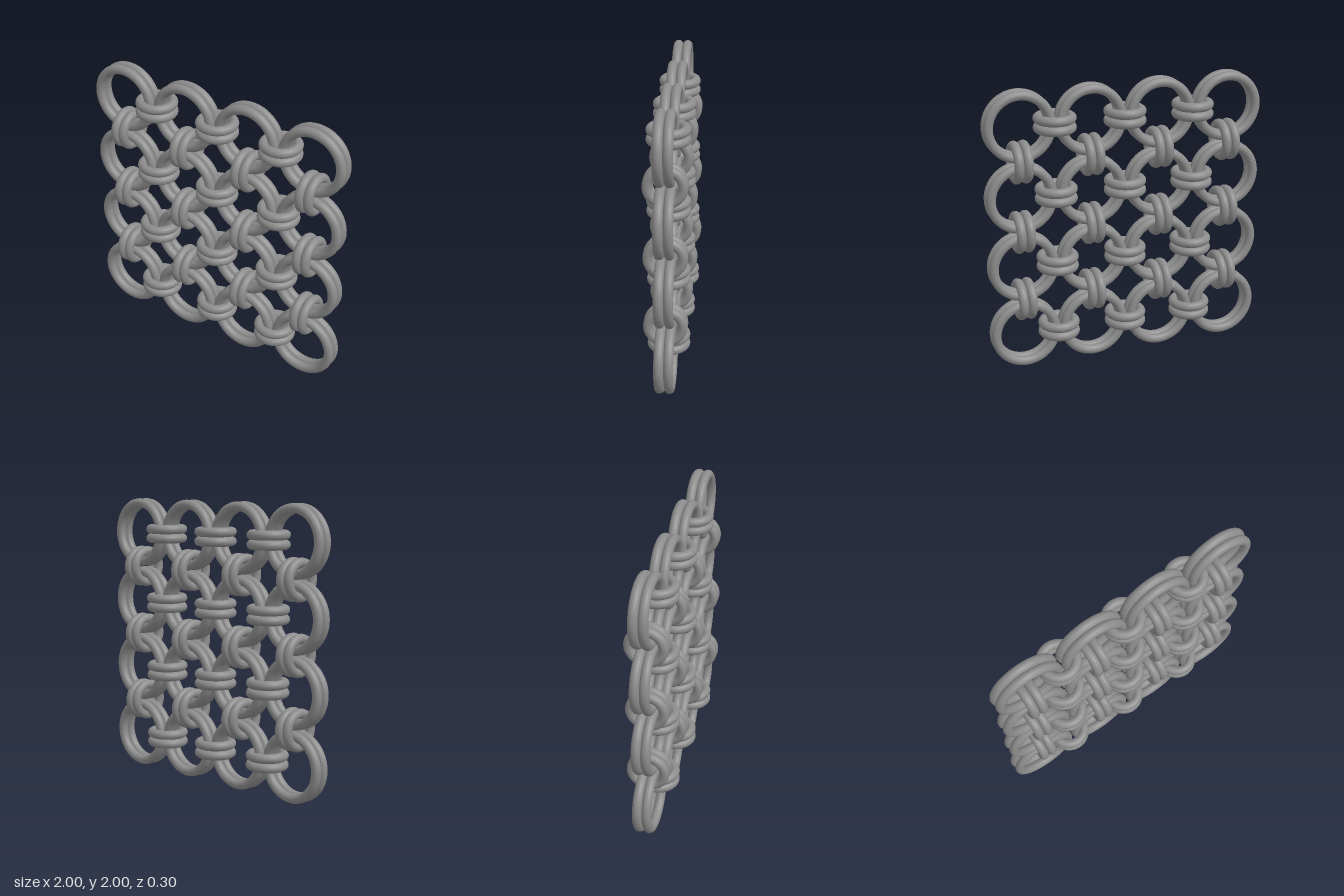
import * as THREE from 'three';

export function createModel() {
  const group = new THREE.Group();
  const material = new THREE.MeshStandardMaterial({ color: 0x8c8c8c });

  const N = 4; // large ring pairs per row and column
  const pitch = 0.501;
  const wire = 0.033; // wire radius; paired rings touch
  const largeRing = new THREE.TorusGeometry(0.2155, wire, 16, 56);
  const smallRing = new THREE.TorusGeometry(0.115, wire, 16, 40);

  // Two identical rings side by side along their shared axis (z before rotation)
  function ringPair(name, geometry, x, y, rx = 0, ry = 0) {
    const pair = new THREE.Group();
    pair.name = name;
    for (const side of [-1, 1]) {
      const ring = new THREE.Mesh(geometry, material);
      ring.name = name + 'Ring';
      ring.position.z = side * wire;
      pair.add(ring);
    }
    pair.position.set(x, y, 0);
    pair.rotation.set(rx, ry, 0);
    group.add(pair);
  }

  const at = (i) => (i - (N - 1) / 2) * pitch;
  for (let row = 0; row < N; row++) {
    for (let col = 0; col < N; col++) {
      const x = at(col);
      const y = 1 + at(row);
      ringPair('largePair', largeRing, x, y);
      // Flat links join neighbours in a row, upright links join rows
      if (col < N - 1) ringPair('rowLink', smallRing, x + pitch / 2, y, Math.PI / 2, 0);
      if (row < N - 1) ringPair('columnLink', smallRing, x, y + pitch / 2, 0, Math.PI / 2);
    }
  }
  return group;
}
